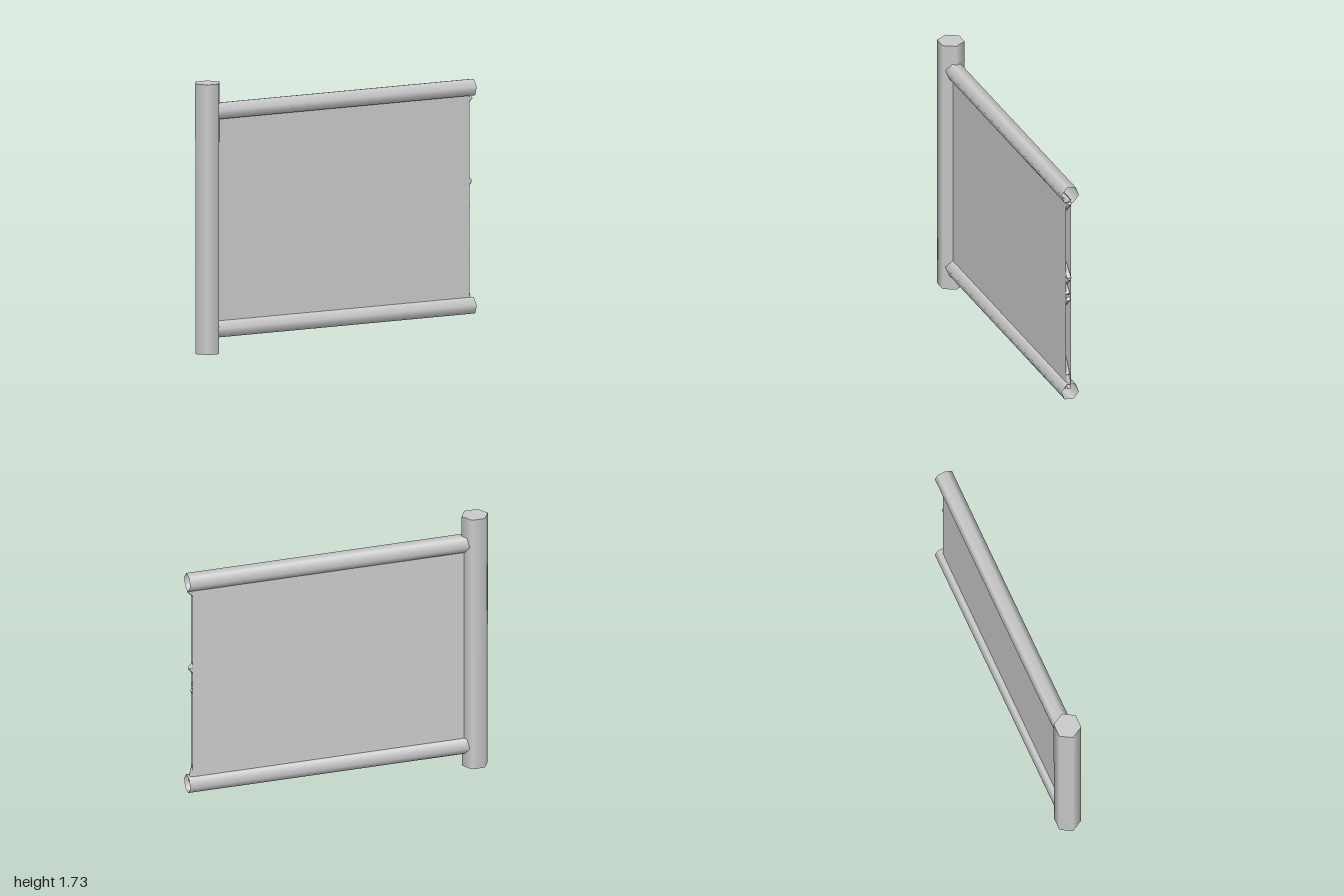
import * as THREE from 'three';

const metal = new THREE.MeshStandardMaterial({ color: 0xcccccc, side: THREE.DoubleSide });
metal.name = 'grey metal';

export function createModel() {
  const group = new THREE.Group();
  const add = (name, geometry, x = 0, y = 0, z = 0) => {
    const mesh = new THREE.Mesh(geometry, metal);
    mesh.name = name;
    mesh.position.set(x, y, z);
    group.add(mesh);
    return mesh;
  };

  // Hexagonal post with corners pointing along x
  const post = new THREE.CylinderGeometry(0.087, 0.086, 1.725, 6);
  post.rotateY(Math.PI / 2);
  add('post', post, -0.913, 1.725 / 2, 0);

  // Hollow hexagonal rails, open at the free end
  for (const [name, y] of [['topRail', 1.539], ['bottomRail', 0.146]]) {
    const start = -0.86, length = 1 - start;
    const rail = new THREE.CylinderGeometry(0.06, 0.06, length, 6, 1, true);
    rail.rotateY(Math.PI / 18);
    rail.rotateZ(Math.PI / 2);
    add(name, rail, start + length / 2, y, 0);
  }

  // Two thin skins with a wire-filled gap between them
  const left = -0.85, right = 0.97, bottom = 0.15, top = 1.49;
  for (const side of [1, -1]) {
    const skin = new THREE.PlaneGeometry(right - left, top - bottom);
    if (side < 0) skin.rotateY(Math.PI);
    add(side > 0 ? 'frontSkin' : 'backSkin', skin, (left + right) / 2, (top + bottom) / 2, side * 0.017);
  }

  // Diagonal wires showing in the open edge: [x1, y1, x2, y2]
  const wires = [
    [0.99, 1.48, 0.65, 1.14],
    [0.65, 1.14, 0.965, 0.82],
    [0.985, 0.945, 0.9, 0.86],
    [0.985, 0.94, 0.9, 1.02],
    [0.97, 0.79, 0.76, 0.58],
    [0.76, 0.58, 0.96, 0.25],
    [0.96, 0.25, 0.98, 0.16],
  ];
  const up = new THREE.Vector3(0, 1, 0);
  for (const [x1, y1, x2, y2] of wires) {
    const dir = new THREE.Vector3(x2 - x1, y2 - y1, 0);
    const wire = add('wire', new THREE.CylinderGeometry(0.015, 0.015, dir.length(), 6), (x1 + x2) / 2, (y1 + y2) / 2);
    wire.quaternion.setFromUnitVectors(up, dir.normalize());
  }
  return group;
}
